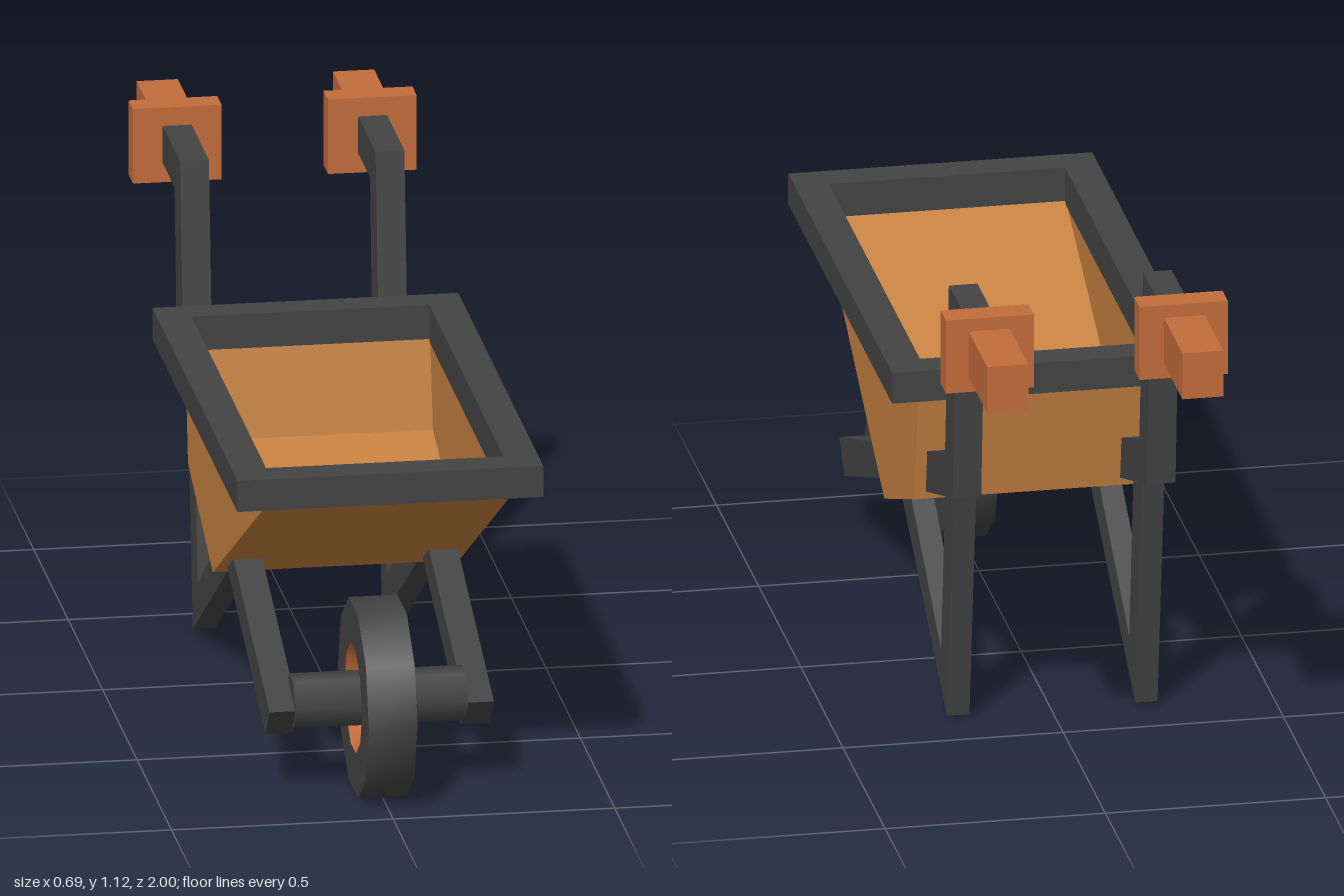
import * as THREE from 'three';
import { toCreasedNormals } from 'three/addons/utils/BufferGeometryUtils.js';

const paint = (color, flatShading = true) => new THREE.MeshStandardMaterial({ color, flatShading });
const metal = paint(0x444444);
const wood = paint(0xc68040);
const grip = paint(0xc46c3c);
const smoothMetal = paint(0x444444, false);
const smoothGrip = paint(0xc46c3c, false);

export function createModel() {
  const model = new THREE.Group();
  const add = (name, geometry, material, parent = model) => {
    const mesh = new THREE.Mesh(geometry, material);
    mesh.name = name;
    parent.add(mesh);
    return mesh;
  };

  // A side outline of [z, y] points, given thickness from x0 to x1
  const plate = (points, x0, x1) => {
    const shape = new THREE.Shape(points.map(([z, y]) => new THREE.Vector2(z, y)));
    return new THREE.ExtrudeGeometry(shape, { depth: x1 - x0, bevelEnabled: false })
      .rotateY(-Math.PI / 2).translate(x1, 0, 0);
  };
  const box = (x0, x1, y0, y1, z0, z1) => new THREE.BoxGeometry(x1 - x0, y1 - y0, z1 - z0)
    .translate((x0 + x1) / 2, (y0 + y1) / 2, (z0 + z1) / 2);

  // Tub: folded floor between two upright side panels
  const tub = new THREE.Group();
  tub.name = 'tub';
  model.add(tub);
  const outer = [[0.92, 0.72], [0.17, 0.322], [-0.19, 0.46], [-0.23, 0.72]];
  const inner = [[-0.2, 0.72], [-0.16, 0.52], [0.2, 0.41], [0.88, 0.72]];
  add('tubFloor', plate([...outer, ...inner], -0.27, 0.27), wood, tub);
  add('tubSideLeft', plate(outer, 0.27, 0.278), wood, tub);
  add('tubSideRight', plate(outer, -0.278, -0.27), wood, tub);

  // Rim: rectangular loops joined into a frame with a sloping underside
  const loop = (x, y, z0, z1) => [[x, y, z1], [x, y, z0], [-x, y, z0], [-x, y, z1]];
  const inside = loop(0.268, 0.714, -0.2, 0.88);
  const loops = [
    inside,
    loop(0.345, 0.727, -0.275, 0.96),
    loop(0.345, 0.8, -0.275, 0.96),
    loop(0.268, 0.8, -0.2, 0.88),
    inside,
  ];
  const corners = [];
  for (let i = 0; i < loops.length - 1; i++) {
    for (let k = 0; k < 4; k++) {
      const n = (k + 1) % 4;
      const [a, b, c, d] = [loops[i][k], loops[i][n], loops[i + 1][n], loops[i + 1][k]];
      corners.push(...a, ...b, ...c, ...a, ...c, ...d);
    }
  }
  const rim = new THREE.BufferGeometry();
  rim.setAttribute('position', new THREE.Float32BufferAttribute(corners, 3));
  rim.computeVertexNormals();
  add('tubRim', rim, metal);

  // Frame, legs and grips, mirrored left and right
  const forkOutline = [[0.835, 0.21], [0.775, 0.14], [0.21, 0.352], [0.23, 0.4], [0.29, 0.405]];
  const legOutline = [[0.2, 0.35], [-0.37, 0.008], [-0.455, 0.605], [-0.36, 0.62],
    [-0.3, 0.14], [0.06, 0.37], [0.13, 0.4]];
  const handleOutline = [[-0.175, 0.472], [-0.51, 0.585], [-0.545, 0.99], [-0.73, 0.99],
    [-0.73, 1.077], [-0.465, 1.077], [-0.42, 0.66], [-0.185, 0.572]];
  for (const [side, s] of [['Left', 1], ['Right', -1]]) {
    const span = (a, b) => (s > 0 ? [a, b] : [-b, -a]);
    add('fork' + side, plate(forkOutline, ...span(0.188, 0.253)), metal);
    add('leg' + side, plate(legOutline, ...span(0.188, 0.239)), metal);
    add('handleBar' + side, plate(handleOutline, ...span(0.188, 0.253)), metal);
    add('gripGuard' + side, box(...span(0.12, 0.32), 0.945, 1.12, -0.78, -0.717), grip);
    add('grip' + side, box(...span(0.175, 0.268), 0.98, 1.09, -1, -0.77), grip);
  }

  // Wheel: ten-sided tyre, dished hub and six-sided axle
  const wheel = new THREE.Group();
  wheel.name = 'wheel';
  wheel.position.set(0, 0.215, 0.776);
  model.add(wheel);
  const turned = (points) => toCreasedNormals(
    new THREE.LatheGeometry(points.map(([r, y]) => new THREE.Vector2(r, y)), 10)
      .rotateZ(Math.PI / 2), 0.7);
  add('tyre', turned([[0.125, -0.055], [0.225, -0.055], [0.225, 0.055], [0.125, 0.055]]),
    smoothMetal, wheel);
  add('hub', turned([[0, -0.025], [0.1, -0.025], [0.125, -0.055], [0.125, 0.055],
    [0.1, 0.025], [0, 0.025]]), smoothGrip, wheel);
  add('axle', new THREE.CylinderGeometry(0.063, 0.063, 0.39, 6).rotateZ(Math.PI / 2),
    smoothMetal, wheel);

  return model;
}
